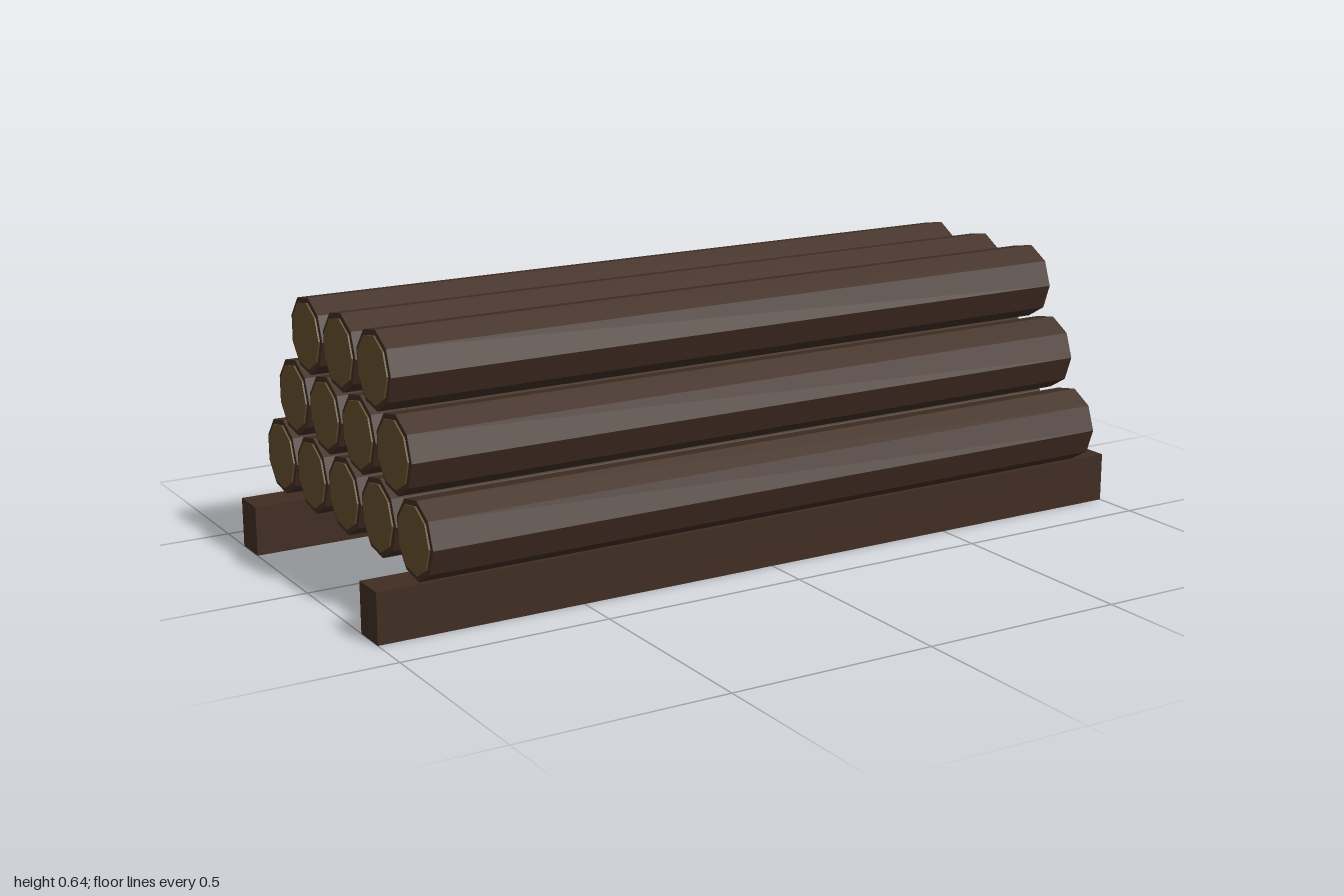
import * as THREE from 'three';

export function createModel() {
  const group = new THREE.Group();
  group.name = 'logPile';

  const bark = new THREE.MeshStandardMaterial({ color: 0x402d22, flatShading: true });
  bark.name = 'dark bark';
  const cutWood = new THREE.MeshStandardMaterial({ color: 0x634e2d, flatShading: true });
  cutWood.name = 'cut wood';

  const add = (parent, name, geometry, material, x, y, z) => {
    const mesh = new THREE.Mesh(geometry, material);
    mesh.name = name;
    mesh.position.set(x, y, z);
    parent.add(mesh);
  };

  // Nine-sided prisms lying along x, with one corner pointing to +z
  const prism = (radius, length) => new THREE.CylinderGeometry(radius, radius, length, 9).rotateZ(Math.PI / 2);
  const logGeometry = prism(0.0922, 1.8);
  const endGeometry = prism(0.079, 0.008);
  const beamGeometry = new THREE.BoxGeometry(2, 0.12, 0.0866);

  // Two support beams on the ground
  add(group, 'frontBeam', beamGeometry, bark, 0, 0.06, 0.345);
  add(group, 'backBeam', beamGeometry, bark, 0, 0.06, -0.349);

  // Stacked rows of five, four and three logs
  [5, 4, 3].forEach((count, row) => {
    for (let i = 0; i < count; i++) {
      const log = new THREE.Group();
      log.name = `logRow${row + 1}Number${i + 1}`;
      log.position.set(0, 0.2145 + row * 0.1665, -0.002 + ((count - 1) / 2 - i) * 0.1865);
      add(log, 'trunk', logGeometry, bark, 0, 0, 0);
      add(log, 'leftCutEnd', endGeometry, cutWood, 0.9, 0, 0);
      add(log, 'rightCutEnd', endGeometry, cutWood, -0.9, 0, 0);
      group.add(log);
    }
  });

  return group;
}
